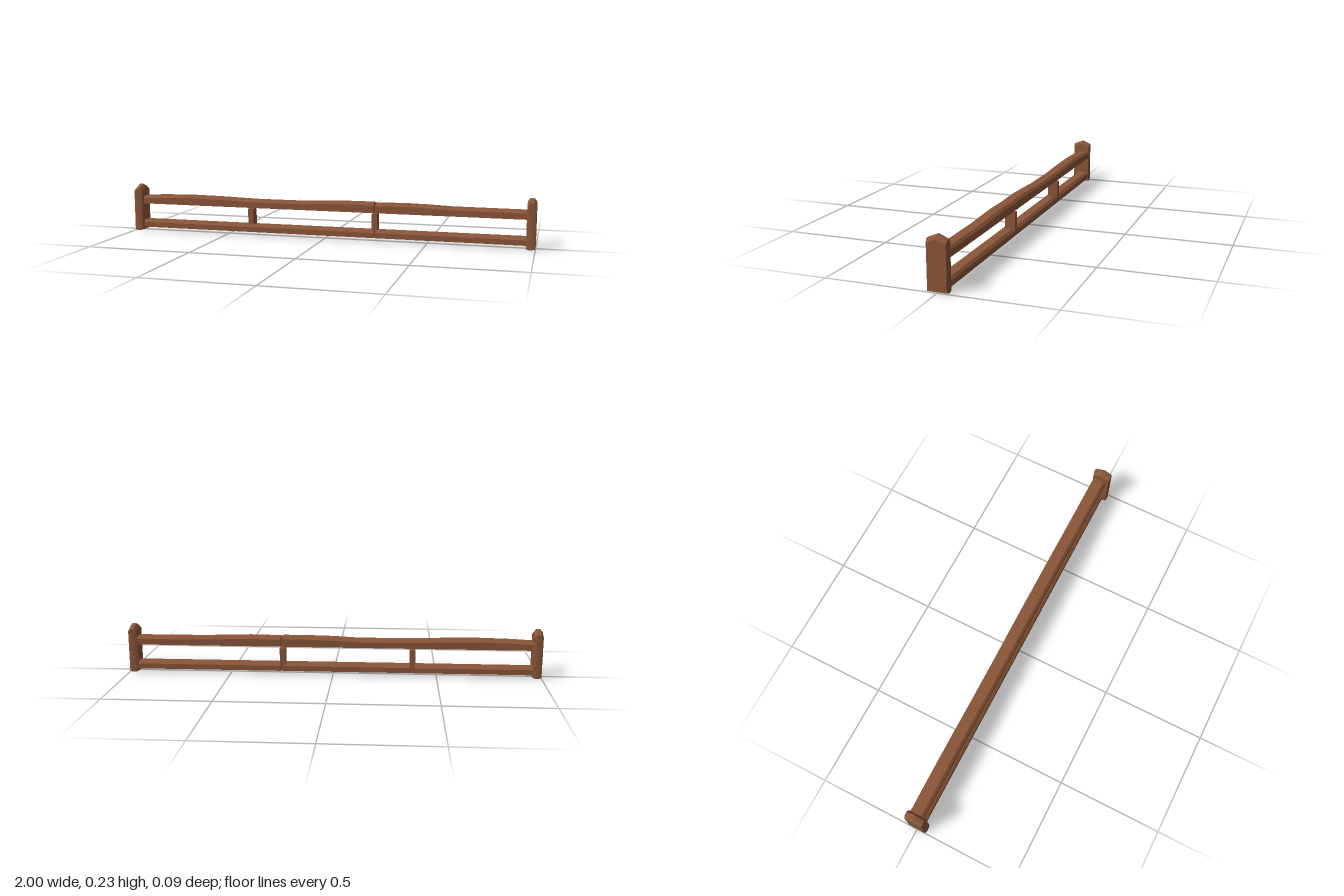
import * as THREE from 'three';

// Skin a row of cross-sections along x. Each section is { x, pts: [[y, z], ...] }.
function loft(sections) {
  const pos = [];
  const put = (s, j) => {
    const p = s.pts[j % s.pts.length];
    pos.push(s.x, p[0], p[1]);
  };
  const n = sections[0].pts.length;
  for (let i = 0; i < sections.length - 1; i++) {
    const a = sections[i], b = sections[i + 1];
    for (let j = 0; j < n; j++) {
      put(a, j); put(a, j + 1); put(b, j + 1);
      put(a, j); put(b, j + 1); put(b, j);
    }
  }
  const first = sections[0], last = sections[sections.length - 1];
  for (let j = 1; j < n - 1; j++) {
    put(last, 0); put(last, j); put(last, j + 1);
    put(first, 0); put(first, j + 1); put(first, j);
  }
  const g = new THREE.BufferGeometry();
  g.setAttribute('position', new THREE.Float32BufferAttribute(pos, 3));
  g.computeVertexNormals();
  return g;
}

// Beam section with chamfered upper edges
function railSection(x, bottom, top, inset = 0) {
  const back = -0.04 + inset, front = 0.026 - inset, c = 0.011;
  const t = top - inset, b = bottom + inset;
  return { x, pts: [[t, back + c], [t, front - c], [t - c, front], [b, front], [b, back], [t - c, back]] };
}

// Rail with slightly softened ends; tops is a list of [x, top height]
function railGeometry(bottom, tops) {
  const sections = tops.map(([x, top]) => railSection(x, bottom, top));
  const [x0, t0] = tops[0], [x1, t1] = tops[tops.length - 1], e = 0.003;
  sections.unshift(railSection(x0 - e, bottom, t0, e));
  sections.push(railSection(x1 + e, bottom, t1, e));
  return loft(sections);
}

// Gabled post slice
function postSection(x, halfDepth, shoulder, peak, base) {
  return { x, pts: [[peak, 0], [shoulder, halfDepth], [base, halfDepth], [base, -halfDepth], [shoulder, -halfDepth]] };
}

export function createModel() {
  const group = new THREE.Group();
  const wood = new THREE.MeshStandardMaterial({ color: 0x8a5538, flatShading: true });
  wood.name = 'brown wood';
  const add = (name, geometry) => {
    const mesh = new THREE.Mesh(geometry, wood);
    mesh.name = name;
    group.add(mesh);
    return mesh;
  };

  // End posts with bevelled gable tops
  const postGeometry = loft([
    postSection(-0.021, 0.042, 0.202, 0.219, 0.004),
    postSection(-0.009, 0.045, 0.216, 0.235, 0),
    postSection(0.009, 0.045, 0.216, 0.235, 0),
    postSection(0.021, 0.042, 0.202, 0.219, 0.004),
  ]);
  add('leftPost', postGeometry).position.x = 0.979;
  add('rightPost', postGeometry).position.x = -0.979;

  // Wavy upper rail in two lengths
  add('upperRailLong', railGeometry(0.137, [
    [-0.965, 0.175], [-0.85, 0.181], [-0.7, 0.184], [-0.55, 0.182], [-0.36, 0.176],
    [-0.12, 0.176], [0, 0.182], [0.15, 0.185], [0.245, 0.184],
  ]));
  add('upperRailShort', railGeometry(0.137, [
    [0.253, 0.182], [0.4, 0.184], [0.5, 0.182], [0.62, 0.177], [0.965, 0.176],
  ]));

  // Straight lower rail in two lengths
  add('lowerRailLong', railGeometry(0.016, [[-0.965, 0.052], [0.245, 0.052]]));
  add('lowerRailShort', railGeometry(0.016, [[0.253, 0.052], [0.965, 0.052]]));

  // Short uprights on the lower rail
  for (const [name, x] of [['rightUpright', -0.384], ['leftUpright', 0.244]]) {
    add(name, new THREE.BoxGeometry(0.027, 0.086, 0.05)).position.set(x, 0.087, -0.018);
  }
  return group;
}
